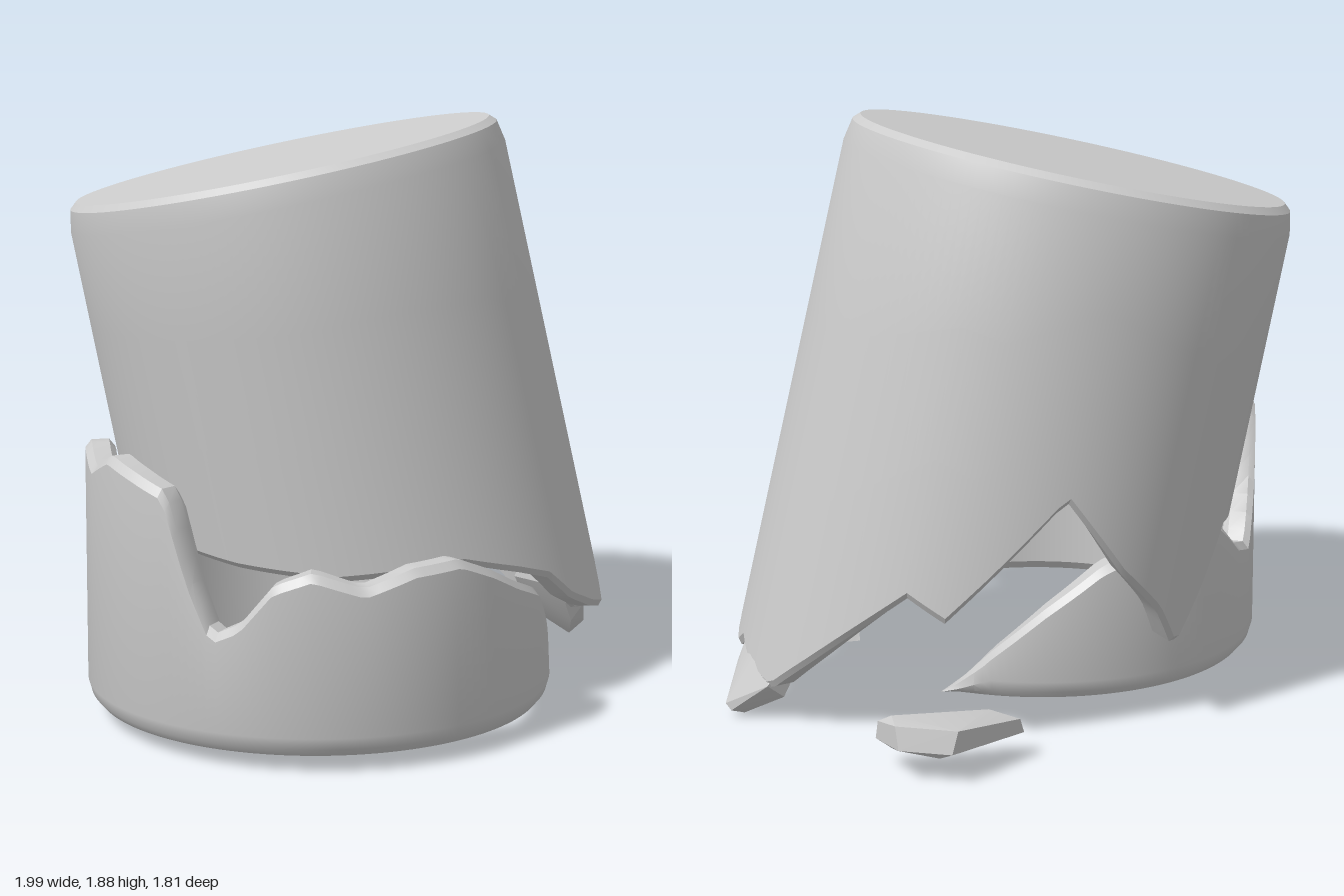
import * as THREE from 'three';
import { toCreasedNormals } from 'three/addons/utils/BufferGeometryUtils.js';
import { ConvexGeometry } from 'three/addons/geometries/ConvexGeometry.js';

const material = new THREE.MeshStandardMaterial({ color: 0xcccccc, side: THREE.DoubleSide });
const rad = THREE.MathUtils.degToRad;

// Broken edge heights as [angle in degrees from +x towards +z, world height]
const potEdge = [
  [-180, 0.54], [-160, 0.55], [-143, 0.57], [-130, 0.58], [-121, 0.38], [-114, 0.25], [-104, 0.4],
  [-90, 0.55], [-72, 0.8], [-58, 0.56], [-50, 0.43], [-40, 0.5], [-18, 0.25], [-6, 0.12],
  [8, 0.16], [15, 0.2], [20, 0.16], [26, 0.18], [32, 0.34], [38, 0.43], [44, 0.24], [56, 0.28],
  [67, 0.34], [75, 0.43], [85, 0.47], [100, 0.52], [130, 0.48], [155, 0.5], [180, 0.54],
];
const baseEdge = [
  [15, 0.05], [18, 0.12], [22, 0.16], [29, 0.21], [42, 0.24], [49, 0.34], [57, 0.44], [70, 0.5],
  [80, 0.56], [90, 0.61], [102, 0.6], [114, 0.55], [126, 0.6], [135, 0.56], [143, 0.44],
  [150, 0.4], [156, 0.56], [163, 0.81], [174, 0.85], [184, 0.88], [196, 0.82], [205, 0.88],
  [212, 0.87], [219, 0.65], [228, 0.42], [238, 0.45], [249, 0.56], [266, 0.58], [286, 0.48],
  [300, 0.35], [314, 0.2], [322, 0.1], [327, 0.05],
];

function edgeHeight(table, deg) {
  const k = table.findIndex((p) => p[0] >= deg);
  if (k <= 0) return table[k === 0 ? 0 : table.length - 1][1];
  const [a, h0] = table[k - 1], [b, h1] = table[k];
  return h0 + ((h1 - h0) * (deg - a)) / (b - a);
}

// Sweeps a profile of [radius, height], which varies by angle, about the y axis
function sweep(from, to, steps, profile) {
  const rows = [];
  for (let i = 0; i <= steps; i++) {
    const deg = from + ((to - from) * i) / steps, t = rad(deg);
    rows.push(profile(deg).map(([r, y]) => new THREE.Vector3(r * Math.cos(t), y, r * Math.sin(t))));
  }
  const pos = [];
  const tri = (a, b, c) => {
    const area = b.clone().sub(a).cross(c.clone().sub(a)).length();
    if (area > 1e-8) for (const p of [a, b, c]) pos.push(p.x, p.y, p.z);
  };
  for (let i = 0; i < steps; i++) {
    for (let j = 0; j < rows[0].length - 1; j++) {
      const a = rows[i][j], b = rows[i][j + 1], c = rows[i + 1][j], d = rows[i + 1][j + 1];
      tri(a, c, b);
      tri(c, d, b);
    }
  }
  const g = new THREE.BufferGeometry();
  g.setAttribute('position', new THREE.Float32BufferAttribute(pos, 3));
  return toCreasedNormals(g, 0.5);
}

function add(group, name, geometry) {
  const mesh = new THREE.Mesh(geometry, material);
  mesh.name = name;
  group.add(mesh);
  return mesh;
}

function shard(points) {
  const g = new ConvexGeometry(points.map((p) => new THREE.Vector3(...p)));
  return toCreasedNormals(g, 0.35);
}

export function createModel() {
  const group = new THREE.Group();
  group.name = 'brokenPot';

  // Tilted upturned vessel: closed on top, hollow, with a jagged lower edge
  const axis = new THREE.Vector3(-0.19, 1, -0.09).normalize();
  const tilt = new THREE.Quaternion().setFromUnitVectors(new THREE.Vector3(0, 1, 0), axis);
  const top = new THREE.Vector3(-0.155, 1.74, -0.185);
  const outer = (s) => 0.725 - 0.02 * s;
  const vessel = add(group, 'tiltedVessel', sweep(-180, 180, 144, (deg) => {
    const t = rad(deg);
    const rim = new THREE.Vector3(Math.cos(t), 0, Math.sin(t)).multiplyScalar(0.755).applyQuaternion(tilt);
    const s = (edgeHeight(potEdge, deg) - top.y - rim.y) / axis.y;
    const wall = [0, 0.33, 0.66, 1].map((k) => {
      const y = -0.09 + (s + 0.02 + 0.09) * k;
      return [outer(y), y];
    });
    return [
      [0, 0], [0.69, 0], [0.712, -0.02], ...wall,
      [outer(s) - 0.015, s], [outer(s) - 0.08, s + 0.01], [outer(s) - 0.095, s + 0.03],
      [0.63, -0.14], [0.59, -0.1], [0, -0.1],
    ];
  }));
  vessel.position.copy(top);
  vessel.quaternion.copy(tilt);

  // Standing broken collar, open at one side and tapering to both ends
  const floor = 0.05;
  const collar = add(group, 'brokenCollar', sweep(15, 327, 140, (deg) => {
    const h = edgeHeight(baseEdge, deg), e = h - floor;
    const bevel = Math.min(0.06, e * 0.4), lip = Math.min(0.025, e * 0.2);
    return [
      [0.665, h], [0.72, h], [0.74, h - lip], [0.745, floor + bevel], [0.735, floor + bevel * 0.4],
      [0.715, floor], [0.665, floor], [0.645, floor + bevel * 0.5], [0.645, h - lip], [0.665, h],
    ];
  }));
  collar.position.set(-0.25, 0, 0.16);

  // Loose fragments
  add(group, 'sideShard', shard([
    [0.79, 0.33, 0.05], [0.79, 0.33, -0.04], [0.84, 0.3, 0.05], [0.84, 0.3, -0.04],
    [0.78, 0.22, 0.16], [0.85, 0.25, 0.16], [0.91, 0.14, 0.14], [0.86, 0.08, 0.13],
    [0.78, 0.21, -0.09], [0.85, 0.23, -0.1], [0.92, 0.13, -0.11], [0.86, 0.08, -0.1],
    [1, 0.04, 0.04], [0.99, 0.02, 0.02], [0.94, 0, 0.03],
  ]));
  add(group, 'backShard', shard([
    [0.36, 0.08, -0.74], [0.38, 0.13, -0.75], [0.46, 0.16, -0.7], [0.48, 0.07, -0.66],
    [0.64, 0.17, -0.83], [0.66, 0.1, -0.83], [0.68, 0.08, -0.79], [0.78, 0.17, -0.7],
    [0.78, 0.1, -0.72], [0.78, 0.15, -0.59], [0.78, 0.09, -0.575], [0.74, 0.06, -0.61],
    [0.76, 0.18, -0.64],
  ]));
  return group;
}
